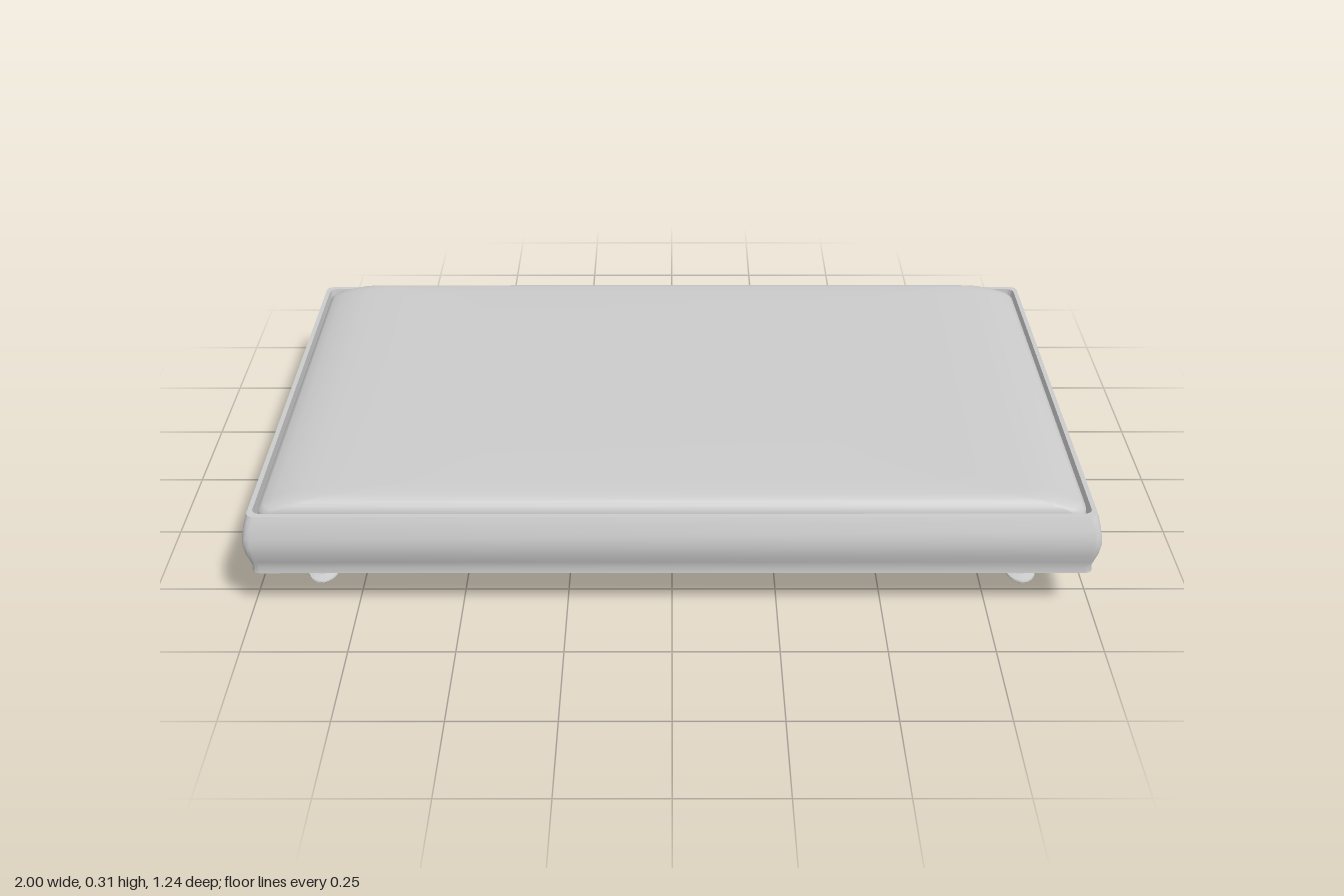
import * as THREE from 'three';
import { toCreasedNormals } from 'three/addons/utils/BufferGeometryUtils.js';

const material = new THREE.MeshStandardMaterial({ color: 0xcccccc });

// Skins rounded rectangles [halfX, halfZ, y, cornerRadius], listed so that the outside is to the right going up.
function loftRings(rings, crease) {
  const steps = 6;
  const positions = [];
  const index = [];
  const count = 4 * (steps + 1);
  for (const [hx, hz, y, r] of rings) {
    for (let corner = 0; corner < 4; corner++) {
      const sx = corner === 0 || corner === 3 ? 1 : -1;
      const sz = corner < 2 ? 1 : -1;
      for (let s = 0; s <= steps; s++) {
        const a = (corner + s / steps) * Math.PI / 2;
        positions.push(sx * (hx - r) + r * Math.cos(a), y, sz * (hz - r) + r * Math.sin(a));
      }
    }
  }
  for (let i = 0; i < rings.length - 1; i++) {
    for (let j = 0; j < count; j++) {
      const a = i * count + j;
      const b = i * count + (j + 1) % count;
      index.push(a, a + count, b, b, a + count, b + count);
    }
  }
  const geometry = new THREE.BufferGeometry();
  geometry.setAttribute('position', new THREE.Float32BufferAttribute(positions, 3));
  geometry.setIndex(index);
  return toCreasedNormals(geometry, crease);
}

function addMesh(parent, name, geometry) {
  const mesh = new THREE.Mesh(geometry, material);
  mesh.name = name;
  parent.add(mesh);
  return mesh;
}

export function createModel() {
  const model = new THREE.Group();
  model.name = 'bed';

  // Frame: flat underside, bulging sides, narrow rim and a recess for the mattress
  const profile = [
    [0.605, 0.12], [0.604, 0.135], [0.609, 0.153], [0.616, 0.175], [0.62, 0.2],
    [0.618, 0.222], [0.613, 0.243], [0.606, 0.265], [0.602, 0.275], [0.588, 0.275], [0.584, 0.22],
  ];
  const frameRings = profile.map(([z, y]) => [1 - (0.62 - z) * 0.8, z, y, 0.02]);
  frameRings.unshift([0, 0, 0.12, 0]);
  frameRings.push([0, 0, 0.22, 0]);
  addMesh(model, 'frame', loftRings(frameRings, 0.6));

  // Mattress: tight roll along the long edges, long soft slope at the ends
  addMesh(model, 'mattress', loftRings([
    [0.965, 0.576, 0.221, 0.035],
    [0.968, 0.579, 0.25, 0.035],
    [0.966, 0.579, 0.268, 0.037],
    [0.955, 0.578, 0.277, 0.04],
    [0.93, 0.575, 0.286, 0.045],
    [0.9, 0.569, 0.295, 0.045],
    [0.86, 0.56, 0.301, 0.045],
    [0.81, 0.548, 0.304, 0.045],
    [0.66, 0.5, 0.306, 0.04],
    [0, 0, 0.306, 0],
  ], 1));

  // Legs: collar, waisted stem and disc foot, slimmer from side to side
  const legGeometry = toCreasedNormals(new THREE.LatheGeometry([
    [0, 0], [0.05, 0], [0.055, 0.004], [0.054, 0.008], [0.03, 0.012], [0.026, 0.02],
    [0.024, 0.045], [0.026, 0.073], [0.034, 0.08], [0.036, 0.088], [0.036, 0.125],
  ].map(([r, y]) => new THREE.Vector2(r, y)), 28), 0.7);
  for (const [sx, side] of [[1, 'Left'], [-1, 'Right']]) {
    for (const [sz, end] of [[1, 'front'], [-1, 'back']]) {
      const leg = addMesh(model, `${end}${side}Leg`, legGeometry);
      leg.position.set(sx * 0.855, 0, sz * 0.424);
      leg.scale.x = 0.68;
    }
  }

  return model;
}
